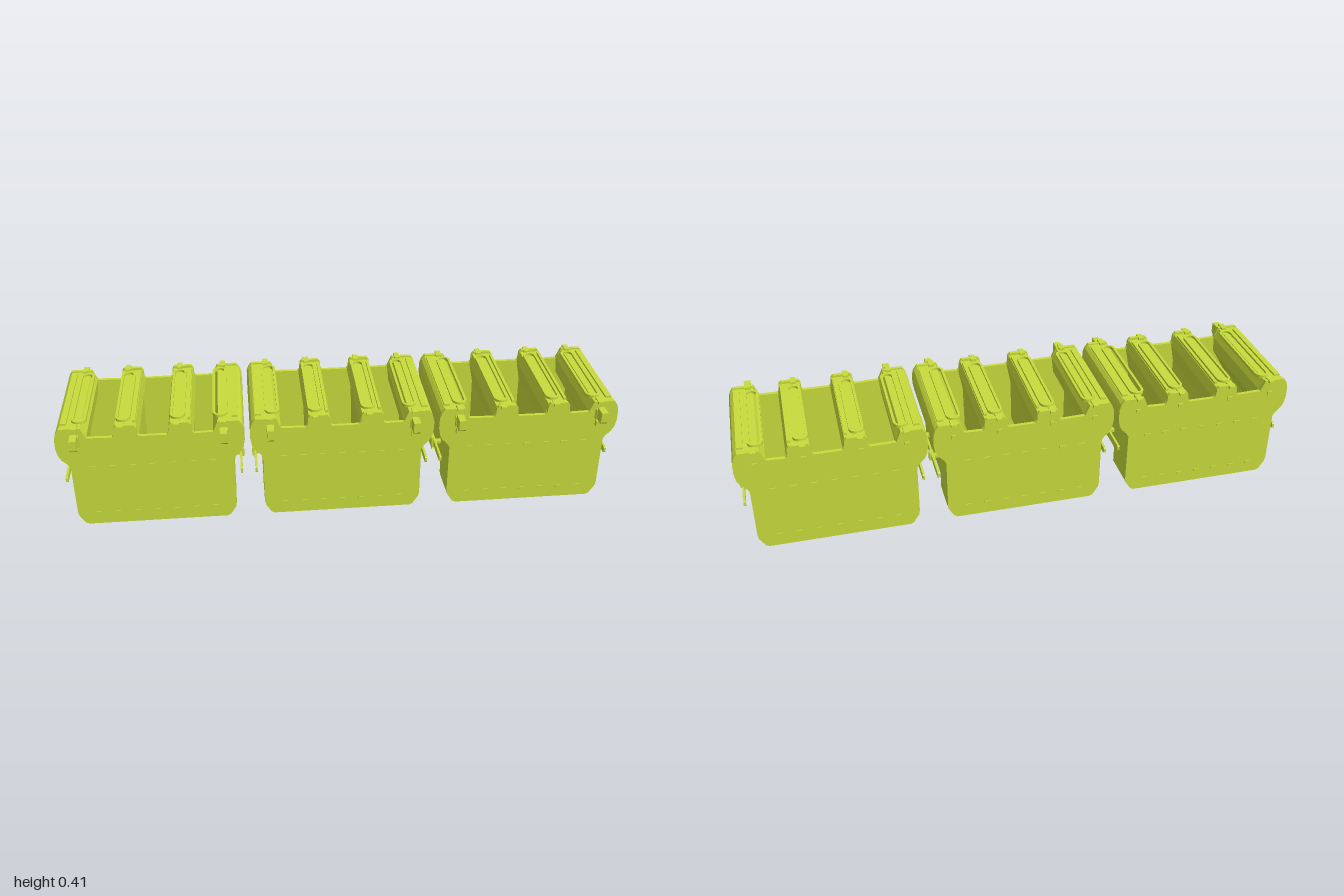
import * as THREE from 'three';

const mat = new THREE.MeshStandardMaterial({ color: 0xc8dc3c, flatShading: true });
const FRONT = 0.195, BACK = -0.24, T = 0.013;   // outer faces of the end plates
const IN_F = FRONT - T, IN_B = BACK + T;         // inner faces

const shapeOf = pts => new THREE.Shape(pts.map(p => new THREE.Vector2(p[0], p[1])));
const mirrorX = pts => pts.map(([x, y]) => [-x, y]).reverse();

function add(group, name, geometry) {
  const mesh = new THREE.Mesh(geometry, mat);
  mesh.name = name;
  group.add(mesh);
  return mesh;
}

// Profile in x,y carried along z
function prismZ(pts, z0, z1) {
  return new THREE.ExtrudeGeometry(shapeOf(pts), { depth: z1 - z0, bevelEnabled: false }).translate(0, 0, z0);
}

// Profile in z,y carried along x
function prismX(pts, x0, x1) {
  const flipped = pts.map(([z, y]) => [-z, y]);
  return new THREE.ExtrudeGeometry(shapeOf(flipped), { depth: x1 - x0, bevelEnabled: false })
    .rotateY(Math.PI / 2).translate(x0, 0, 0);
}

function box(group, name, x0, x1, y0, y1, z0, z1) {
  add(group, name, new THREE.BoxGeometry(x1 - x0, y1 - y0, z1 - z0)
    .translate((x0 + x1) / 2, (y0 + y1) / 2, (z0 + z1) / 2));
}

// Rounded slot outline lying on a bar
function slotPath(Type, halfW, halfL) {
  const p = new Type();
  p.absarc(0, halfL - halfW, halfW, 0, Math.PI, false);
  p.absarc(0, -halfL + halfW, halfW, Math.PI, Math.PI * 2, false);
  p.closePath();
  return p;
}

function slotRim(x) {
  const shape = slotPath(THREE.Shape, 0.026, 0.18);
  shape.holes.push(slotPath(THREE.Path, 0.017, 0.171));
  return new THREE.ExtrudeGeometry(shape, { depth: 0.012, bevelEnabled: false, curveSegments: 8 })
    .rotateX(-Math.PI / 2).translate(x, 0.393, -0.025);
}

// Right-hand outer contour, from the bottom to the inner edge of the shoulder
const contour = [
  [0.25, 0], [0.262, 0.006], [0.282, 0.038], [0.285, 0.055], [0.285, 0.243], [0.292, 0.257],
  [0.312, 0.277], [0.322, 0.296], [0.327, 0.325], [0.326, 0.365], [0.32, 0.385], [0.308, 0.402],
  [0.235, 0.402], [0.218, 0.362]
];

// Raised tooth in the top edge, listed from +x to -x
const tooth = c => [
  [c + 0.047, 0.36], [c + 0.041, 0.367], [c + 0.039, 0.395], [c + 0.031, 0.405],
  [c - 0.031, 0.405], [c - 0.039, 0.395], [c - 0.041, 0.367], [c - 0.047, 0.36]
];
const TEETH = [0.106, -0.083];

const platePts = [...contour, ...tooth(TEETH[0]), ...tooth(TEETH[1]), ...mirrorX(contour)];

// Underside with a stepped channel in the middle
const channel = [
  [IN_B, 0.045], [-0.1, 0.045], [-0.106, 0.051], [-0.106, 0.1], [-0.1, 0.108],
  [0.055, 0.108], [0.061, 0.1], [0.061, 0.051], [0.067, 0.045], [IN_F, 0.045]
];
const wallPts = [...channel, [IN_F, 0.26], [IN_B, 0.26]];
const floorPts = [
  ...channel, [IN_F, 0.056], [0.073, 0.056], [0.073, 0.12], [-0.118, 0.12], [-0.118, 0.056], [IN_B, 0.056]
];

// Rounded overhanging shoulder, sloping into the bin on its inner side
const shoulderPts = [
  [0.273, 0.22], [0.285, 0.22], ...contour.slice(4, 11), [0.308, 0.397], [0.237, 0.397],
  [0.218, 0.362], [0.225, 0.3]
];

function createUnit() {
  const unit = new THREE.Group();

  add(unit, 'frontPlate', prismZ(platePts, IN_F, FRONT));
  add(unit, 'backPlate', prismZ(platePts, BACK, IN_B));
  add(unit, 'steppedFloor', prismX(floorPts, -0.28, 0.28));

  // Sides, shoulders and handrails
  for (const s of [-1, 1]) {
    const side = s > 0 ? 'left' : 'right';
    const span = (a, b) => (s > 0 ? [a, b] : [-b, -a]);
    add(unit, side + 'Wall', prismX(wallPts, ...span(0.273, 0.285)));
    add(unit, side + 'Shoulder', prismZ(s > 0 ? shoulderPts : mirrorX(shoulderPts), IN_B, IN_F));
    add(unit, side + 'ShoulderRim', slotRim(s * 0.245));
    box(unit, side + 'ShoulderRidge', ...span(0.285, 0.306), 0.395, 0.404, -0.205, 0.16);

    const rail = [[-0.215, 0.171], [-0.211, 0.167], [0.167, 0.167], [0.171, 0.171],
      [0.171, 0.186], [0.167, 0.19], [-0.211, 0.19], [-0.215, 0.186]];
    add(unit, side + 'Rail', prismX(rail, ...span(0.306, 0.314)));
    for (const z of [0.046, -0.091]) {
      box(unit, side + 'RailBracket', ...span(0.284, 0.307), 0.173, 0.184, z - 0.009, z + 0.009);
      box(unit, side + 'RailClamp', ...span(0.314, 0.322), 0.164, 0.198, z - 0.009, z + 0.009);
    }

    // Front latch with its stem and lower peg
    const x = s * 0.256;
    box(unit, side + 'LatchStem', x - 0.014, x + 0.014, 0.336, 0.376, FRONT, 0.211);
    const latch = [[0.209, 0.342], [0.247, 0.342], [0.255, 0.35], [0.255, 0.387], [0.209, 0.387]];
    add(unit, side + 'Latch', prismX(latch, x - 0.012, x + 0.012));
    box(unit, side + 'LatchPeg', x - 0.01, x + 0.01, 0.307, 0.328, FRONT, 0.211);
  }

  // Hollow-topped dividers between the bins
  for (const c of TEETH) {
    const divider = [
      [c - 0.026, 0.11], [c + 0.026, 0.11], [c + 0.03, 0.28], [c + 0.045, 0.355],
      [c + 0.036, 0.396], [c - 0.036, 0.396], [c - 0.045, 0.355], [c - 0.03, 0.28]
    ];
    add(unit, 'divider', prismZ(divider, IN_B, IN_F));
    add(unit, 'dividerRim', slotRim(c - 0.01));
    box(unit, 'dividerRidge', c + 0.024, c + 0.034, 0.39, 0.405, -0.205, 0.16);
  }

  // Clips hooked over the plate tops
  for (const x of [-0.255, -0.098, 0.094, 0.255]) {
    box(unit, 'frontClip', x - 0.01, x + 0.01, 0.397, 0.406, 0.17, 0.207);
    box(unit, 'backClip', x - 0.01, x + 0.01, 0.397, 0.406, -0.253, -0.215);
    box(unit, 'backClipPeg', x - 0.008, x + 0.008, 0.342, 0.358, -0.245, BACK);
  }

  // Rows of small tabs on both plates
  for (let i = 0; i < 7; i++) {
    const x = -0.21 + i * 0.07;
    for (const [y, w] of [[0.042, 0.01], [0.238, 0.012]]) {
      box(unit, 'frontTab', x - w, x + w, y, y + 0.009, FRONT - 0.002, FRONT + 0.003);
      box(unit, 'backTab', x - w, x + w, y, y + 0.009, BACK - 0.003, BACK + 0.002);
    }
  }
  return unit;
}

export function createModel() {
  const model = new THREE.Group();
  model.name = 'binRow';
  ['rightUnit', 'middleUnit', 'leftUnit'].forEach((name, i) => {
    const unit = createUnit();
    unit.name = name;
    unit.position.x = (i - 1) * 0.673;
    model.add(unit);
  });
  return model;
}
